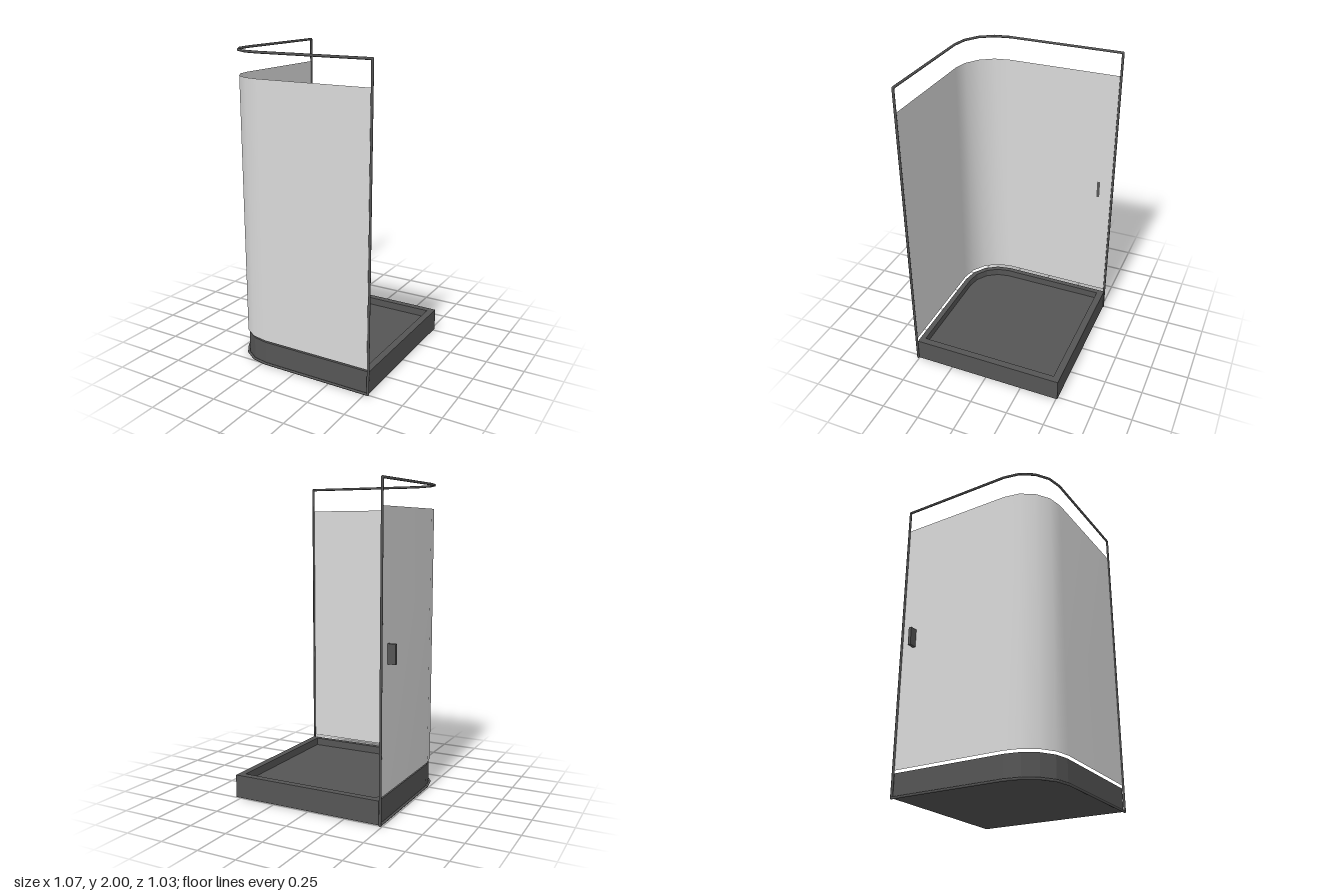
import * as THREE from 'three';

// L-shaped run with a rounded corner, as [x, z] points; inset moves it inwards
const CX = -0.225, CZ = 0.243;
function cornerPath(r, endX, endZ) {
  const pts = [[CX - r, endZ]];
  for (let i = 0; i <= 4; i++) {
    const a = (i / 4) * Math.PI / 2;
    pts.push([CX - r * Math.cos(a), CZ + r * Math.sin(a)]);
  }
  pts.push([endX, CZ + r]);
  return pts;
}

// Tray outline; shape y becomes -z once laid flat
function trayOutline(r, endX, endZ) {
  const pts = cornerPath(r, endX, endZ);
  pts.push([endX, endZ]);
  return pts.map(([x, z]) => new THREE.Vector2(x, -z));
}

function slab(shape, y, height) {
  const g = new THREE.ExtrudeGeometry(shape, { depth: height, bevelEnabled: false });
  g.rotateX(-Math.PI / 2);
  g.translate(0, y, 0);
  return g;
}

export function createModel() {
  const group = new THREE.Group();
  const dark = new THREE.MeshStandardMaterial({ color: 0x555555 });
  dark.name = 'dark grey';
  const pane = new THREE.MeshStandardMaterial({ color: 0xd9d9d9, side: THREE.DoubleSide });
  pane.name = 'pale glass';

  function add(name, geometry, material, parent = group) {
    const mesh = new THREE.Mesh(geometry, material);
    mesh.name = name;
    parent.add(mesh);
    return mesh;
  }

  // Tray: floor plus raised rim
  const outer = trayOutline(0.255, 0.525, -0.51);
  const inner = trayOutline(0.22, 0.48, -0.465);
  const rim = new THREE.Shape(outer);
  rim.holes.push(new THREE.Path(inner));
  add('trayFloor', slab(new THREE.Shape(outer), 0.008, 0.097), dark);
  add('trayRim', slab(rim, 0.105, 0.05), dark);

  // Curved glass sheet
  const path = cornerPath(0.263, 0.523, -0.508);
  const glass = new THREE.PlaneGeometry(1, 1, path.length - 1, 1);
  const pos = glass.attributes.position;
  for (let i = 0; i < pos.count; i++) {
    const [x, z] = path[i % path.length];
    pos.setXYZ(i, x, i < path.length ? 1.84 : 0.17, z);
  }
  glass.computeVertexNormals();
  add('glassScreen', glass, pane);

  // Frame: closed loop of thin rods with rounded joints
  const frame = new THREE.Group();
  frame.name = 'frame';
  group.add(frame);
  const R = 0.008;
  const rail = cornerPath(0.264, 0.525, -0.508);
  const loop = [
    ...rail.map(([x, z]) => new THREE.Vector3(x, R, z)),
    ...rail.map(([x, z]) => new THREE.Vector3(x, 2 - R, z)).reverse(),
  ];
  const up = new THREE.Vector3(0, 1, 0);
  loop.forEach((a, i) => {
    const b = loop[(i + 1) % loop.length];
    const dir = b.clone().sub(a);
    const rod = add('frameRod', new THREE.CylinderGeometry(R, R, dir.length(), 8, 1, true), dark, frame);
    rod.position.copy(a).add(b).multiplyScalar(0.5);
    rod.quaternion.setFromUnitVectors(up, dir.normalize());
    add('frameJoint', new THREE.SphereGeometry(R, 8, 6), dark, frame).position.copy(a);
  });

  // Door handle
  add('handle', new THREE.BoxGeometry(0.051, 0.12, 0.02), dark).position.set(-0.5135, 1.005, -0.41);

  return group;
}
